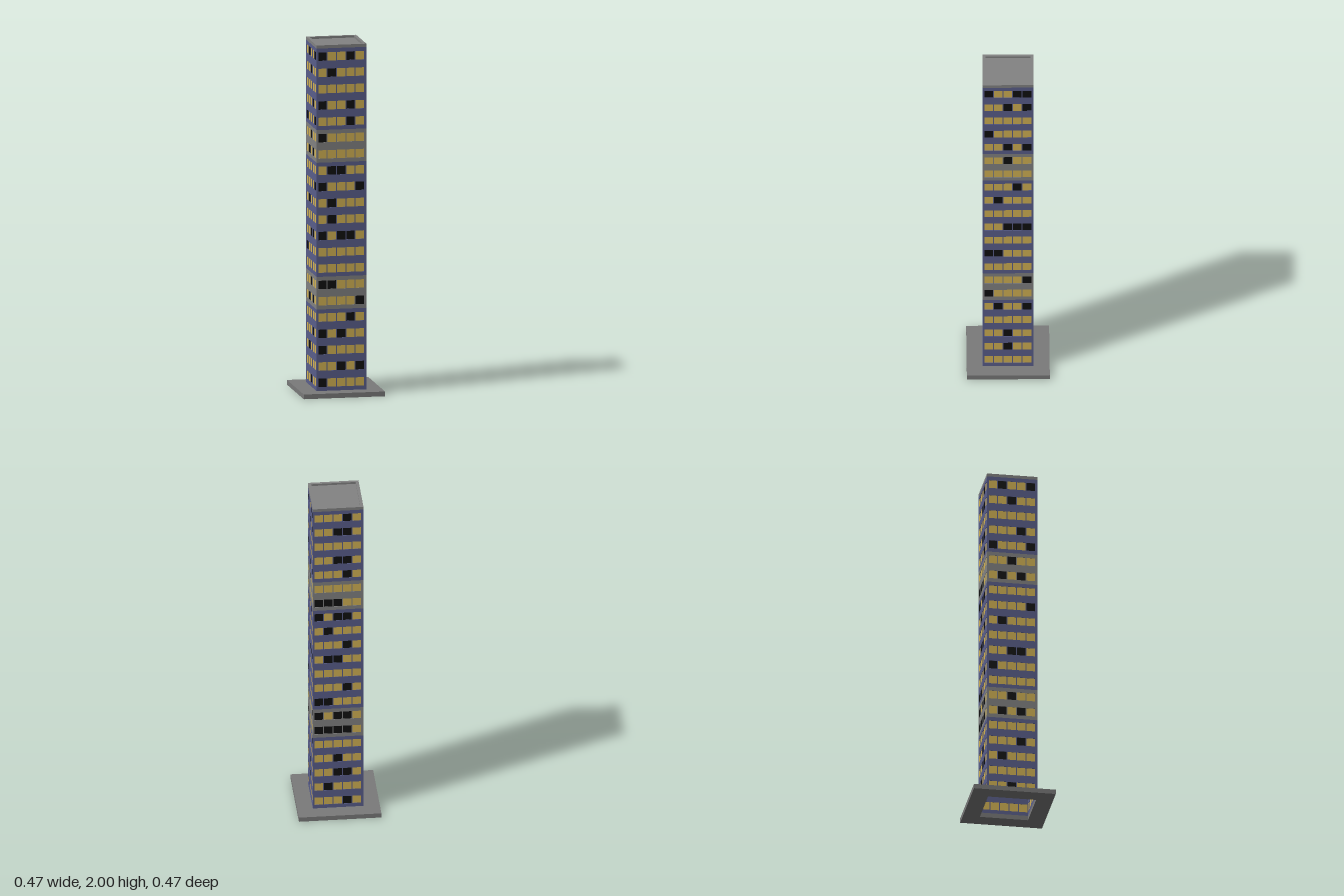
import * as THREE from 'three';
import { mergeGeometries } from 'three/addons/utils/BufferGeometryUtils.js';

const FLOOR = 0.0931, BASE = 0.027, HALF = 0.143, WALL = 0.006;
const PITCH = 0.0537, PANE = 0.048, SHIFT = -0.002, FLOORS = 21;
const TOP = BASE + FLOORS * FLOOR;

// Unlit windows, one number per floor from the top; each digit is a window column (1-5)
const unlit = {
  front: '14 2 0 14 4 1 0 23 15 2 2 134 0 0 12 5 4 13 1 35 1',
  right: '145 35 0 1 35 3 0 4 2 0 345 0 12 0 5 1 25 0 3 3 0',
  back: '4 34 0 34 4 0 123 134 2 4 23 0 4 12 134 1234 0 3 34 2 4',
  left: '25 3 0 4 15 3 24 0 5 2 0 34 1 0 3 24 0 4 2 0 3',
};

const material = (color) => new THREE.MeshStandardMaterial({ color });
const blue = material(0x5a5f8c), grey = material(0x838383), plateGrey = material(0x7a7a7a);
const litGlass = material(0xd4b455), darkGlass = material(0x101010);

function rect(path, x0, y0, x1, y1) {
  return path.moveTo(x0, y0).lineTo(x1, y0).lineTo(x1, y1).lineTo(x0, y1).closePath();
}

function mesh(name, geometry, mat) {
  const m = new THREE.Mesh(geometry, mat);
  m.name = name;
  return m;
}

const columnX = (c) => SHIFT + (c - 2) * PITCH;
const floorY = (f) => BASE + (f + 0.5) * FLOOR;

// Wall panel with window openings, spanning floors from..to
function wallPanel(from, to) {
  const shape = rect(new THREE.Shape(), -HALF, BASE + from * FLOOR, HALF - WALL, BASE + to * FLOOR);
  for (let f = from; f < to; f++) {
    for (let c = 0; c < 5; c++) {
      const x = columnX(c), y = floorY(f), r = PANE / 2;
      shape.holes.push(rect(new THREE.Path(), x - r, y - r, x + r, y + r));
    }
  }
  return new THREE.ExtrudeGeometry(shape, { depth: WALL, bevelEnabled: false })
    .translate(0, 0, HALF - WALL);
}

// Horizontal square ring
function squareRing(outer, inner, y, height) {
  const shape = rect(new THREE.Shape(), -outer, -outer, outer, outer);
  shape.holes.push(rect(new THREE.Path(), -inner, -inner, inner, inner));
  return new THREE.ExtrudeGeometry(shape, { depth: height, bevelEnabled: false })
    .rotateX(-Math.PI / 2).translate(0, y, 0);
}

// One side of the tower: blue storeys, grey service bands and slightly recessed panes
function facade(name, pattern) {
  const side = new THREE.Group();
  side.name = name + 'Facade';
  const join = (spans) => mergeGeometries(spans.map(([a, b]) => wallPanel(a, b)));
  side.add(mesh('wall', join([[0, 5], [7, 14], [16, 21]]), blue));
  side.add(mesh('serviceBands', join([[5, 7], [14, 16]]), grey));

  const lit = [], dark = [];
  pattern.split(' ').forEach((digits, row) => {
    for (let c = 0; c < 5; c++) {
      const pane = new THREE.BoxGeometry(PANE, PANE, 0.003)
        .translate(columnX(c), floorY(FLOORS - 1 - row), HALF - 0.0035);
      (digits.includes(String(c + 1)) ? dark : lit).push(pane);
    }
  });
  side.add(mesh('litWindows', mergeGeometries(lit), litGlass));
  side.add(mesh('darkWindows', mergeGeometries(dark), darkGlass));
  return side;
}

export function createModel() {
  const model = new THREE.Group();
  model.name = 'officeTower';

  // Ground plate, open beneath the hollow tower
  model.add(mesh('basePlate', squareRing(0.233, 0.137, 0, BASE), plateGrey));

  // Four facades turned around the tower axis
  const tower = new THREE.Group();
  tower.name = 'tower';
  tower.position.x = 0.002;
  Object.entries(unlit).forEach(([name, pattern], i) => {
    const side = facade(name, pattern);
    side.rotation.y = i * Math.PI / 2;
    tower.add(side);
  });

  // Flat roof inside a low parapet
  tower.add(mesh('parapet', squareRing(HALF, 0.126, TOP, 2 - TOP), grey));
  tower.add(mesh('roof', new THREE.BoxGeometry(0.252, 0.006, 0.252).translate(0, TOP + 0.003, 0), grey));
  model.add(tower);
  return model;
}
